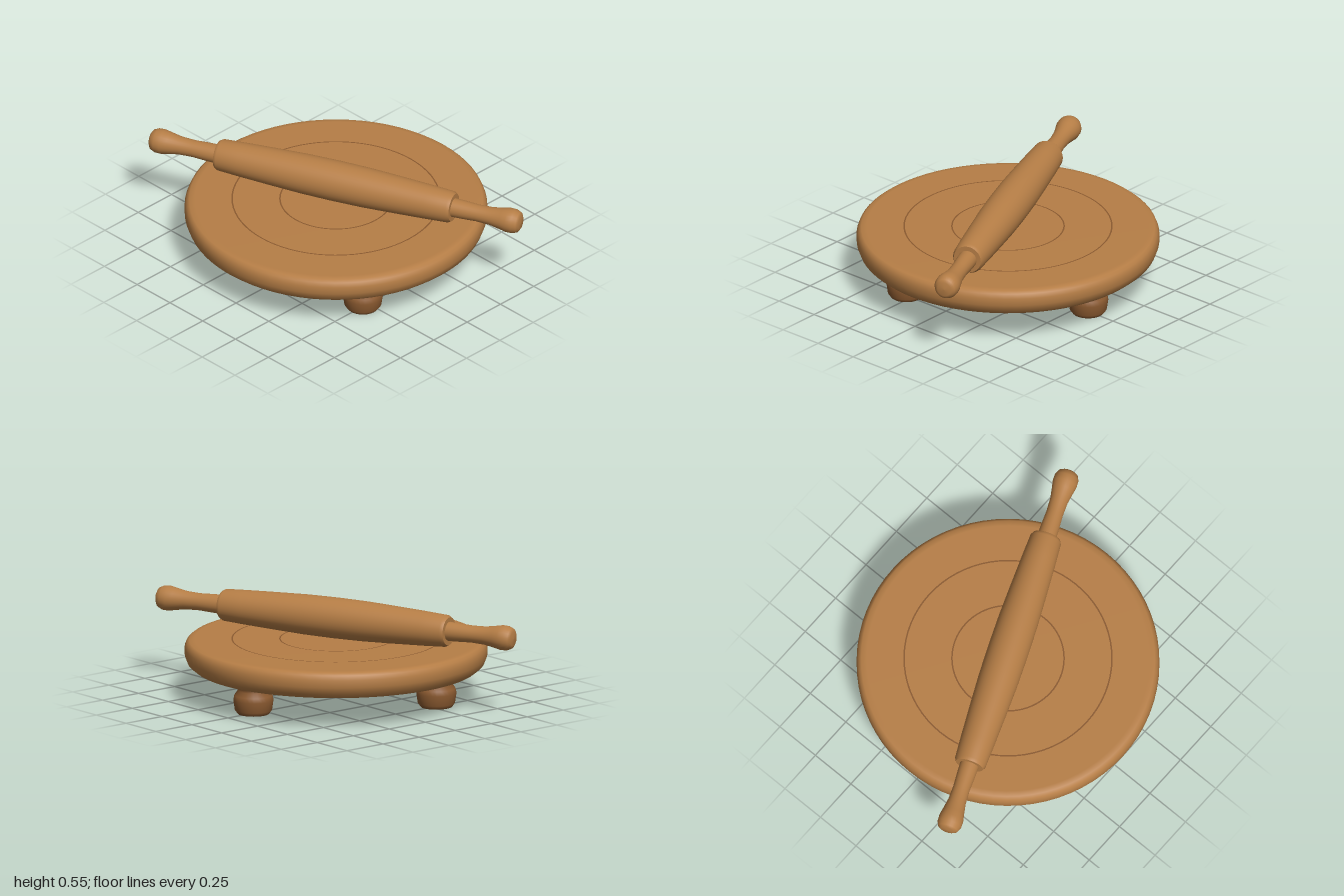
import * as THREE from 'three';

const wood = new THREE.MeshStandardMaterial({ name: 'light wood', color: 0xb67e46 });
const darkWood = new THREE.MeshStandardMaterial({ name: 'dark wood', color: 0x8b5a30 });

// Turned part: profile of [radius, height] pairs from bottom to top
function turned(name, profile, material, segments) {
  const points = profile.map(([r, y]) => new THREE.Vector2(r, y));
  const mesh = new THREE.Mesh(new THREE.LatheGeometry(points, segments), material);
  mesh.name = name;
  return mesh;
}

export function createModel() {
  const model = new THREE.Group();
  model.name = 'rollingBoardAndPin';

  // Round board with softened rim
  model.add(turned('board', [
    [0, 0.175], [0.745, 0.175], [0.765, 0.18], [0.795, 0.205], [0.81, 0.245],
    [0.81, 0.285], [0.8, 0.31], [0.785, 0.322], [0.755, 0.327], [0, 0.327],
  ], wood, 72));

  // Inlaid guide rings
  for (const r of [0.3, 0.556]) {
    const ring = new THREE.Mesh(new THREE.RingGeometry(r - 0.004, r + 0.004, 72), darkWood);
    ring.name = 'guideRing';
    ring.rotation.x = -Math.PI / 2;
    ring.position.y = 0.329;
    model.add(ring);
  }

  // Three turned feet, one at the back
  for (let i = 0; i < 3; i++) {
    const a = Math.PI + (i * 2 * Math.PI) / 3;
    const foot = turned('foot', [
      [0, 0.004], [0.085, 0.004], [0.1, 0.025], [0.108, 0.08], [0.102, 0.105],
      [0.084, 0.13], [0.09, 0.15], [0.106, 0.168], [0.106, 0.18],
    ], darkWood, 28);
    foot.position.set(Math.sin(a) * 0.573, 0, Math.cos(a) * 0.573);
    model.add(foot);
  }

  // Rolling pin lying diagonally across the board
  const pin = new THREE.Group();
  pin.name = 'rollingPin';
  pin.position.y = 0.442;
  pin.rotation.y = 0.4;
  model.add(pin);

  // Barrel half, doubled points keep the end edge crisp
  const half = [
    [0, 0.682], [0.076, 0.682], [0.076, 0.682], [0.086, 0.664],
    [0.093, 0.54], [0.101, 0.36], [0.108, 0.18],
  ];
  const barrel = turned('barrel', [
    ...half.map(([r, y]) => [r, -y]), [0.11, 0], ...half.slice().reverse(),
  ], wood, 40);
  barrel.rotation.z = -Math.PI / 2;
  pin.add(barrel);

  // Handles with knobs
  for (const side of [-1, 1]) {
    const handle = turned('handle', [
      [0.052, 0.66], [0.05, 0.74], [0.046, 0.82], [0.049, 0.9], [0.06, 0.965],
      [0.067, 1.0], [0.066, 1.035], [0.055, 1.06], [0.038, 1.07], [0, 1.073],
    ], wood, 28);
    handle.rotation.z = -side * Math.PI / 2;
    pin.add(handle);
  }

  return model;
}
